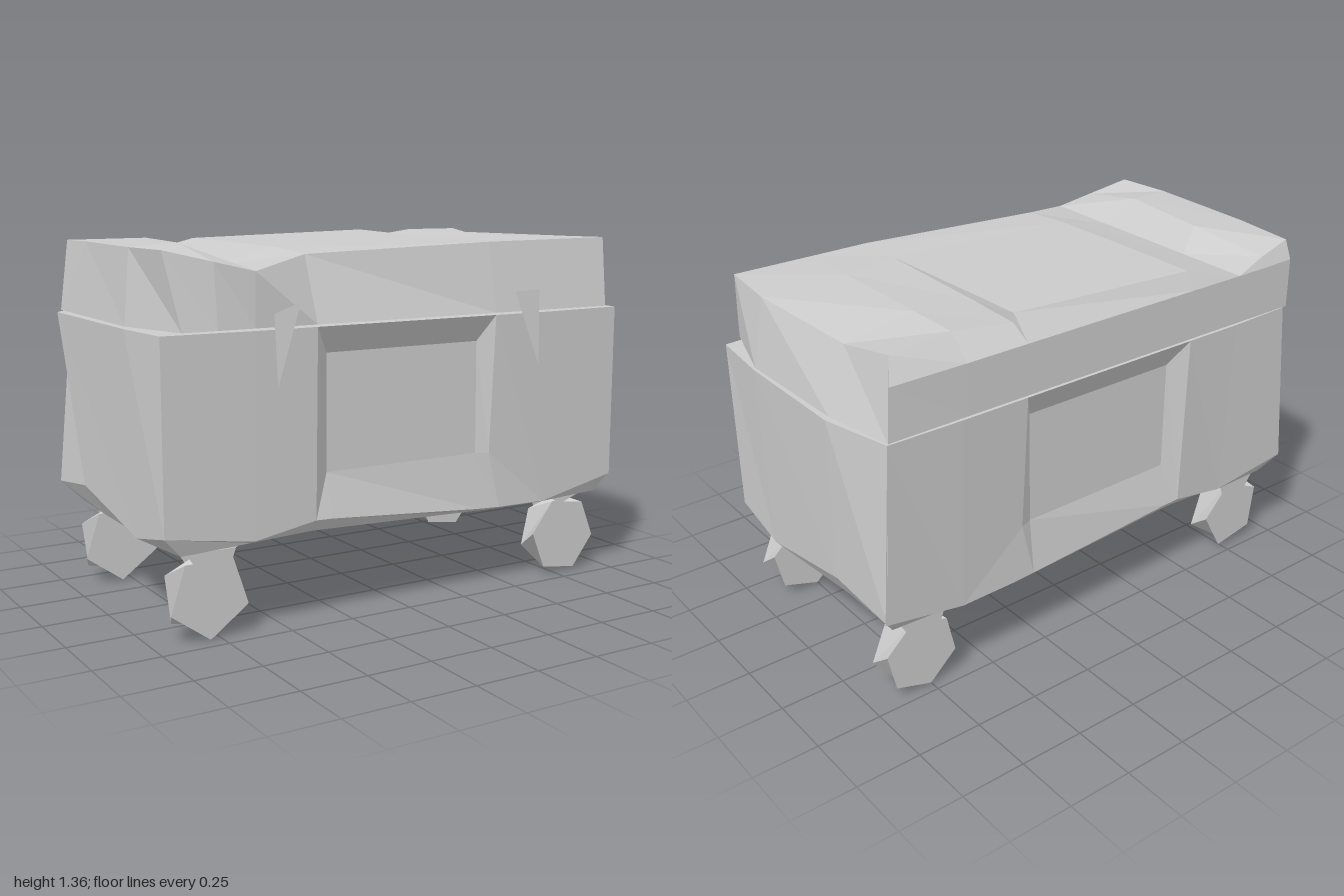
import * as THREE from 'three';

const grey = new THREE.MeshStandardMaterial({ color: 0xcccccc, flatShading: true });
const thin = new THREE.MeshStandardMaterial({ color: 0xcccccc, flatShading: true, side: THREE.DoubleSide });

// Collects faces made from [x, y, z] points into one faceted mesh
class Facets {
  constructor() { this.pos = []; }
  fan(...p) {
    for (let i = 1; i < p.length - 1; i++) this.pos.push(...p[0], ...p[i], ...p[i + 1]);
  }
  // Skins neighbouring rows of points; closed joins the end of each row to its start
  skin(rows, closed = false) {
    for (let i = 0; i < rows.length - 1; i++) {
      const a = rows[i], b = rows[i + 1], n = a.length;
      for (let j = 0; j < (closed ? n : n - 1); j++) {
        const k = (j + 1) % n;
        this.fan(b[j], b[k], a[k], a[j]);
      }
    }
  }
  mesh(name, material = grey) {
    const g = new THREE.BufferGeometry();
    g.setAttribute('position', new THREE.Float32BufferAttribute(this.pos, 3));
    g.computeVertexNormals();
    const m = new THREE.Mesh(g, material);
    m.name = name;
    return m;
  }
}

// Body: cross-sections along x, with sunken panels on the front and back
function makeBody() {
  const TOP = 1.08;
  // panel = [lower y, upper y, lower depth, upper depth]; inset pulls the lower edge in
  const section = (x, low, bottom, zf, zb, inset, panel = [low, TOP, inset, 0], xLow = x, xBottom = x, xBack = x) => {
    const [y1, y2, d1, d2] = panel;
    return [
      [xBottom, bottom, 0.465], [xLow, low, zf - inset], [x, y1, zf - d1], [x, y2, zf - d2], [x, TOP, zf],
      [xBack, TOP, zb], [xBack, y2, zb + d2], [x, y1, zb + d1], [xLow, low, zb + inset], [xBottom, bottom, -0.485],
    ];
  };
  const sections = [
    section(-0.98, 0.4, 0.325, 0.492, -0.53, 0, undefined, -0.98, -0.91, -0.915),
    section(-0.64, 0.345, 0.335, 0.512, -0.54, 0.025),
    section(-0.4, 0.39, 0.345, 0.512, -0.54, 0.015),
    section(-0.335, 0.388, 0.343, 0.512, -0.54, 0.015, [0.55, 0.98, 0.055, 0.055]),
    section(0.32, 0.335, 0.322, 0.512, -0.54, 0.025, [0.55, 0.98, 0.05, 0.055]),
    section(0.37, 0.33, 0.32, 0.512, -0.54, 0.025, [0.55, TOP, 0.03, 0], 0.42),
    section(0.64, 0.327, 0.318, 0.512, -0.54, 0.025),
    section(0.977, 0.4, 0.33, 0.492, -0.535, 0, undefined, 0.97, 0.92, 0.935),
  ];
  const f = new Facets();
  f.skin(sections, true);
  // Slightly bulged ends
  for (const s of [-1, 1]) {
    const e = s < 0 ? sections[0] : sections[7];
    const cols = [
      [e[0], e[1], e[4]],
      [[s * 0.915, 0.32, 0.24], [s * 0.975, 0.345, 0.24], [s, TOP, 0.23]],
      [[s * 0.915, 0.32, -0.2], [s * 0.985, 0.44, -0.24], [s, TOP, s < 0 ? -0.44 : -0.26]],
      [e[9], e[8], e[5]],
    ];
    if (s < 0) cols.reverse();
    f.skin(cols);
    f.fan(...cols.map((c) => c[2]));
    f.fan(...cols.map((c) => c[0]).reverse());
  }
  return f.mesh('body');
}

// Lid: uneven cross-sections with a dip on one side and a small step on the other
function makeLid() {
  const BASE = 1.088;
  // tops = four [z, y, x shift] points from front to back, then a bevelled back edge
  const section = (x, tops, xf = x, xb = x, back = [x, 1.28, -0.54]) => [
    [xf, BASE, 0.51], ...tops.map(([z, y, dx = 0]) => [x + dx, y, z]), back, [xb, BASE, -0.54],
  ];
  const sections = [
    section(-0.95, [[0.45, 1.355], [0.22, 1.355, -0.02], [-0.24, 1.355], [-0.5, 1.35, 0.02]],
      -0.91, -0.92, [-0.925, 1.28, -0.535]),
    section(-0.78, [[0.486, 1.314], [0.2, 1.365], [-0.2, 1.365, 0.05], [-0.52, 1.32]]),
    section(-0.64, [[0.515, 1.28], [0.2, 1.28], [-0.24, 1.28], [-0.54, 1.28]]),
    section(-0.4, [[0.42, 1.325], [0.2, 1.34], [-0.24, 1.345], [-0.5, 1.345]]),
    section(0.37, [[0.46, 1.35], [0.28, 1.348], [-0.24, 1.36], [-0.46, 1.365]]),
    section(0.372, [[0.46, 1.35], [0.28, 1.348], [-0.24, 1.338], [-0.46, 1.33]]),
    section(0.62, [[0.46, 1.352], [0.2, 1.36], [-0.24, 1.362], [-0.45, 1.362]]),
    section(0.93, [[0.46, 1.355], [0.22, 1.35, 0.02], [-0.24, 1.32, -0.03], [-0.48, 1.36, -0.05]],
      0.91, 0.935, [0.92, 1.28, -0.535]),
  ];
  const f = new Facets();
  f.skin(sections, true);
  // Sloping ends
  for (const s of [-1, 1]) {
    const e = s < 0 ? sections[0] : sections[7];
    const cols = [
      [e[0], e[1]], [[s * 0.995, BASE, 0.23], e[2]],
      [[s * 0.985, BASE, s < 0 ? -0.44 : -0.26], e[3]], [e[6], e[4]],
    ];
    if (s < 0) cols.reverse();
    f.skin(cols);
    f.fan(...(s < 0 ? [e[4], e[5], e[6]] : [e[6], e[5], e[4]]));
    f.fan(...cols.map((c) => c[0]).reverse());
  }
  return f.mesh('lid');
}

// Latch: thin pointed plate hanging from the lid
function makeLatch(name, left, right, tip) {
  const f = new Facets();
  const back = [(left[0] + right[0]) / 2, 1.1, 0.505];
  const a = [...left, 0.522], b = [...right, 0.528], c = [...tip, 0.545];
  f.fan(a, c, b);
  f.fan(a, back, c);
  f.fan(b, c, back);
  f.fan(a, b, back);
  return f.mesh(name, thin);
}

// Wheel: chunky block with twisted, faceted rim, held by a pointed fork
function makeCaster(name, sx, sz) {
  const g = new THREE.Group();
  g.name = name;
  g.position.set(sx * 0.79, 0, sz > 0 ? 0.393 : -0.422);

  const sides = sx > 0 ? 6 : 5;
  const ring = (z, r, start) => Array.from({ length: sides }, (_, i) => {
    const a = THREE.MathUtils.degToRad(start + i * 360 / sides);
    return [r * Math.cos(a), 0.157 + r * Math.sin(a), z];
  });
  const start = sx > 0 ? -68 : -90;
  const back = ring(-0.043, 0.152, start + 25), front = ring(0.043, 0.156, start);
  const w = new Facets();
  w.skin([back, front], true);
  w.fan(...front);
  w.fan(...back.reverse());
  g.add(w.mesh('wheel', thin));

  const f = new Facets();
  const plate = (z, tipY) => f.fan([-0.1, 0.335, z], [sx * -0.03, tipY, z], [0.1, 0.335, z]);
  plate(-sz * 0.06, 0.15);
  plate(sz * 0.055, sx > 0 && sz > 0 ? 0.29 : 0.14);
  f.fan([-0.1, 0.325, -0.06], [0.1, 0.325, -0.06], [0.1, 0.325, 0.06], [-0.1, 0.325, 0.06]);
  g.add(f.mesh('fork', thin));
  return g;
}

export function createModel() {
  const model = new THREE.Group();
  model.name = 'wheeledChest';
  model.add(
    makeBody(),
    makeLid(),
    makeLatch('rightLatch', [-0.575, 1.135], [-0.475, 1.17], [-0.575, 0.885]),
    makeLatch('leftLatch', [0.45, 1.165], [0.56, 1.17], [0.55, 0.885]),
  );
  for (const sx of [-1, 1]) for (const sz of [-1, 1]) {
    model.add(makeCaster(`${sz > 0 ? 'front' : 'back'}${sx > 0 ? 'Left' : 'Right'}Caster`, sx, sz));
  }
  return model;
}
